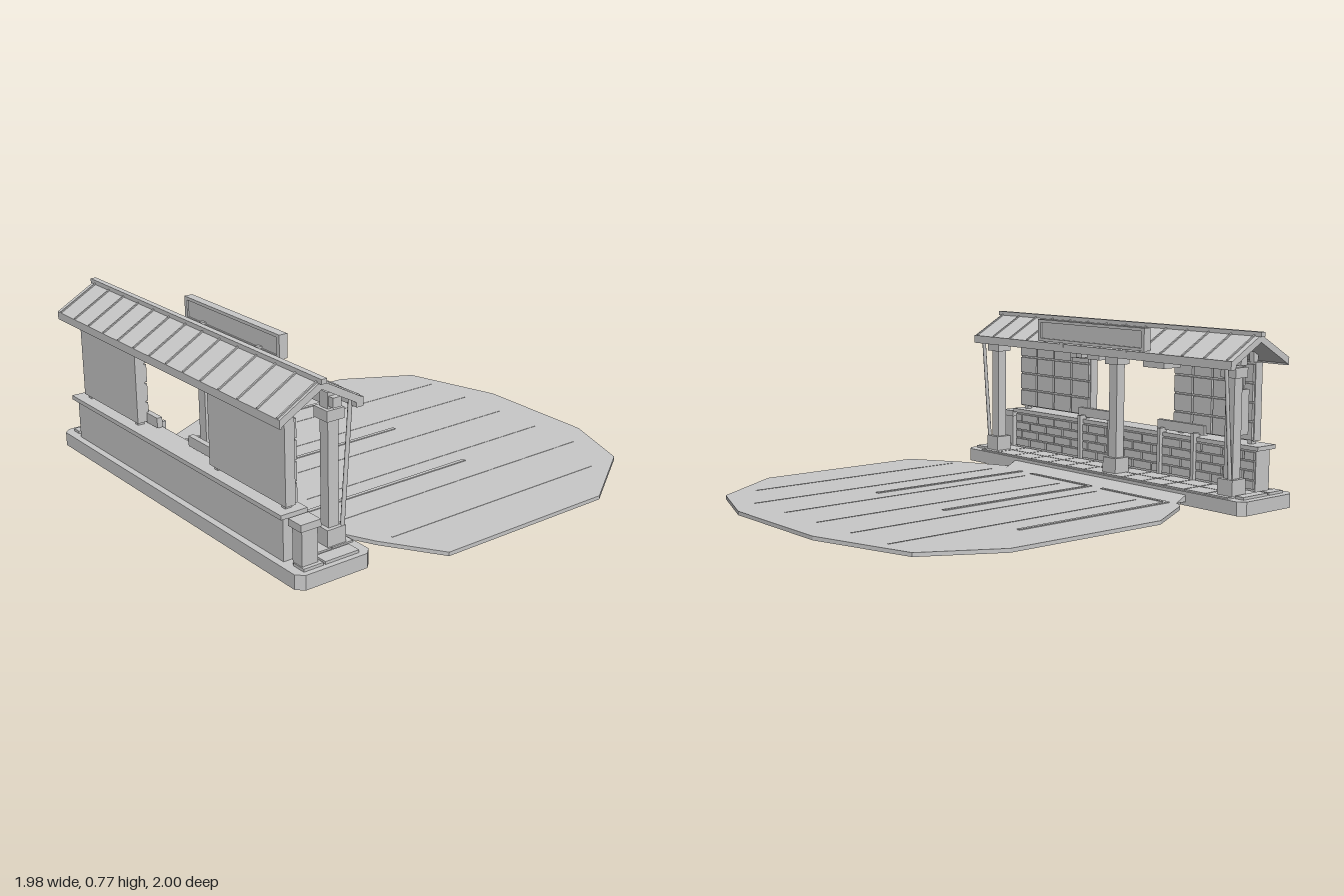
import * as THREE from 'three';

export function createModel() {
  const root = new THREE.Group();
  root.name = 'stationShelter';
  const grey = new THREE.MeshStandardMaterial({ color: 0xc8c8c8 });
  grey.name = 'plain grey';

  const add = (name, geometry, parent = root) => {
    const mesh = new THREE.Mesh(geometry, grey);
    mesh.name = name;
    parent.add(mesh);
    return mesh;
  };
  const group = (name) => {
    const g = new THREE.Group();
    g.name = name;
    root.add(g);
    return g;
  };
  // Box given by its minimum and maximum on each axis
  const box = (name, x0, x1, y0, y1, z0, z1, parent) => {
    const g = new THREE.BoxGeometry(x1 - x0, y1 - y0, z1 - z0);
    g.translate((x0 + x1) / 2, (y0 + y1) / 2, (z0 + z1) / 2);
    return add(name, g, parent);
  };
  // Flat slab from an outline of [x, z]
  const slab = (name, outline, y0, y1, parent) => {
    const s = new THREE.Shape(outline.map(([x, z]) => new THREE.Vector2(x, -z)));
    const g = new THREE.ExtrudeGeometry(s, { depth: y1 - y0, bevelEnabled: false });
    g.rotateX(-Math.PI / 2).translate(0, y0, 0);
    return add(name, g, parent);
  };
  // Section of [z, y] drawn out along x
  const sweepX = (name, section, x0, x1, parent) => {
    const s = new THREE.Shape(section.map(([z, y]) => new THREE.Vector2(-z, y)));
    const g = new THREE.ExtrudeGeometry(s, { depth: x1 - x0, bevelEnabled: false });
    g.rotateY(Math.PI / 2).translate(x0, 0, 0);
    return add(name, g, parent);
  };
  const chamfered = (x0, x1, z0, z1, c) => [
    [x0 + c, z0], [x1 - c, z0], [x1, z0 + c], [x1, z1 - c],
    [x1 - c, z1], [x0 + c, z1], [x0, z1 - c], [x0, z0 + c],
  ];

  // Forecourt with seams and marked bays
  const forecourt = group('forecourt');
  slab('forecourtSlab', [
    [-0.2, -1], [0.4, -0.99], [0.74, -0.86], [0.99, -0.49], [0.99, 0.36], [0.74, 0.52],
    [0.55, 0.61], [0.48, 0.64], [-0.64, 0.64], [-0.67, 0.59], [-0.72, 0.55],
    [-0.87, 0.27], [-0.85, -0.53], [-0.67, -0.86],
  ], 0, 0.017, forecourt);
  for (let i = 0; i < 6; i++) {
    const x = -0.5 + i * 0.25;
    box('pavingSeam', x - 0.003, x + 0.003, 0.017, 0.0185, i === 5 ? -0.7 : -0.85, i === 5 ? 0.45 : 0.5, forecourt);
  }
  for (const x of [-0.63, -0.14, 0.35]) box('bayLine', x - 0.009, x + 0.009, 0.017, 0.021, -0.3, 0.57, forecourt);
  for (const x of [-0.62, -0.13]) box('bayEndLine', x, x + 0.4, 0.017, 0.021, 0.555, 0.573, forecourt);

  // Platform, kerb ramp and paving
  const platform = group('platform');
  slab('platformBase', chamfered(-0.99, 0.87, 0.64, 0.99, 0.03), 0, 0.062, platform);
  sweepX('kerbRamp', [[0.58, 0.017], [0.645, 0.017], [0.645, 0.05]], -0.67, 0.48, platform);
  for (let i = 0; i < 13; i++) {
    const x = -0.9 + i * 0.128;
    box('pavingTile', x, x + 0.122, 0.06, 0.069, 0.652, 0.75, platform);
    box('pavingTile', x, x + 0.122, 0.06, 0.069, 0.756, 0.85, platform);
  }
  for (const [x0, x1] of [[-0.955, -0.908], [0.78, 0.845]]) {
    box('endPaving', x0, x1, 0.06, 0.074, 0.69, 0.85, platform);
    box('endPaving', x0, x1, 0.06, 0.074, 0.86, 0.95, platform);
  }

  // Low wall with brick courses on its inner face
  const wall = group('lowWall');
  box('wallCore', -0.87, 0.73, 0.06, 0.248, 0.868, 0.96, wall);
  box('wallCap', -0.885, 0.75, 0.246, 0.265, 0.86, 0.982, wall);
  for (let row = 0; row < 4; row++) {
    const y = 0.074 + row * 0.043;
    for (let x = -0.865 - (row % 2) * 0.062; x < 0.72; x += 0.124) {
      const x0 = Math.max(x, -0.865), x1 = Math.min(x + 0.115, 0.728);
      if (x1 - x0 > 0.02) box('brick', x0, x1, y, y + 0.036, 0.858, 0.87, wall);
    }
  }
  box('endPier', 0.768, 0.828, 0.06, 0.222, 0.872, 0.945, wall);
  box('endPierCap', 0.757, 0.837, 0.22, 0.25, 0.862, 0.955, wall);

  // Upper panels with cladding tiles on the inner face
  for (const [x0, x1] of [[-0.83, -0.355], [0.21, 0.73]]) {
    const panel = group('upperPanel');
    box('panelBoard', x0, x1, 0.28, 0.63, 0.9, 0.945, panel);
    for (let r = 0; r < 4; r++) {
      const w = (x1 - x0) / 4;
      for (let c = 0; c < 4; c++) {
        box('claddingTile', x0 + c * w + 0.005, x0 + (c + 1) * w - 0.005,
          0.285 + r * 0.086, 0.363 + r * 0.086, 0.888, 0.901, panel);
      }
    }
    for (const x of [x0 + 0.03, x1 - 0.03]) box('panelStay', x - 0.012, x + 0.012, 0.26, 0.69, 0.905, 0.935, panel);
  }

  // Leaning rests along the wall
  for (const x0 of [-0.56, -0.02]) {
    const rest = group('leaningRest');
    box('restBoard', x0, x0 + 0.29, 0.275, 0.32, 0.875, 0.9, rest);
    for (const x of [x0 + 0.04, x0 + 0.25]) {
      box('restPost', x - 0.009, x + 0.009, 0.06, 0.245, 0.84, 0.86, rest);
      box('restBracket', x - 0.009, x + 0.009, 0.235, 0.285, 0.84, 0.885, rest);
    }
  }

  // Columns with feet and capitals
  for (const x of [-0.857, -0.148, 0.708]) {
    const column = group('column');
    box('columnFoot', x - 0.042, x + 0.042, 0.06, 0.14, 0.68, 0.768, column);
    box('columnShaft', x - 0.025, x + 0.025, 0.13, 0.69, 0.7, 0.75, column);
    box('columnCapital', x - 0.042, x + 0.042, 0.58, 0.625, 0.685, 0.765, column);
  }
  box('columnBeam', -0.91, 0.76, 0.635, 0.675, 0.705, 0.745);

  // Sloping drain pipes behind the end columns
  for (const x of [-0.877, 0.74]) {
    const a = new THREE.Vector3(x, 0.13, 0.69), b = new THREE.Vector3(x, 0.65, 0.648);
    add('drainPipe', new THREE.TubeGeometry(new THREE.LineCurve3(a, b), 1, 0.009, 8));
  }

  // Pitched roof, seams and ridge
  const roof = group('roof');
  sweepX('roofShell', [
    [1, 0.655], [0.81, 0.763], [0.625, 0.66], [0.625, 0.628], [0.81, 0.73], [1, 0.622],
  ], -0.93, 0.78, roof);
  const seamFront = [[1, 0.655], [1, 0.661], [0.81, 0.769], [0.81, 0.763]];
  const seamBack = [[0.625, 0.66], [0.625, 0.666], [0.81, 0.769], [0.81, 0.763]];
  for (let i = 0; i < 14; i++) {
    const x = -0.9 + i * 0.128;
    sweepX('roofSeam', seamFront, x - 0.004, x + 0.004, roof);
    sweepX('roofSeam', seamBack, x - 0.004, x + 0.004, roof);
  }
  box('ridgeCap', -0.94, 0.795, 0.755, 0.775, 0.797, 0.823, roof);
  box('frontFascia', -0.93, 0.78, 0.62, 0.655, 0.99, 1, roof);
  box('gutter', -0.93, 0.78, 0.622, 0.66, 0.618, 0.65, roof);

  // Blank name board along the rear eave
  const board = group('roofBoard');
  box('boardFace', -0.44, 0.26, 0.672, 0.77, 0.603, 0.628, board);
  for (const y of [0.668, 0.758]) box('boardRim', -0.445, 0.265, y, y + 0.014, 0.595, 0.635, board);
  for (const x of [-0.44, 0.25]) box('boardRim', x - 0.005, x + 0.015, 0.67, 0.77, 0.595, 0.635, board);
  for (const x of [-0.3, 0.12]) box('boardBracket', x - 0.012, x + 0.012, 0.645, 0.69, 0.615, 0.65, board);

  // Hung boxes and the blade sign
  box('hungBox', 0.02, 0.22, 0.58, 0.68, 0.77, 0.84);
  box('hungLamp', 0.1, 0.14, 0.588, 0.615, 0.73, 0.775);
  box('hungBox', -0.44, -0.31, 0.58, 0.68, 0.73, 0.84);
  box('bladeSign', -0.85, -0.828, 0.32, 0.52, 0.785, 0.835);
  box('bladeSignRod', -0.843, -0.835, 0.515, 0.73, 0.805, 0.815);

  return root;
}
